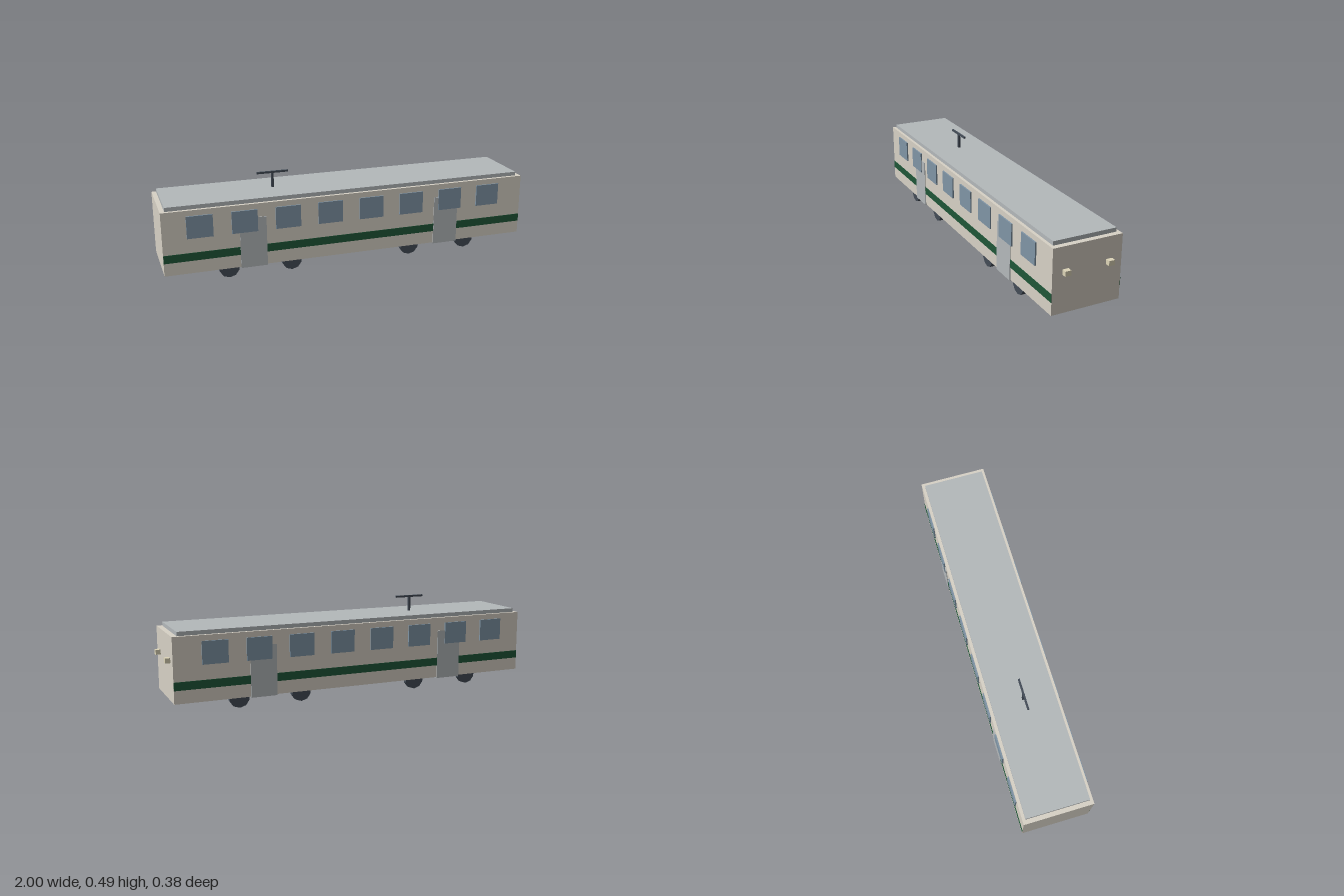
import * as THREE from 'three';

const mat = (color) => new THREE.MeshStandardMaterial({ color, flatShading: true });

export function createModel() {
  const tram = new THREE.Group();
  tram.name = 'railcar';
  const cream = mat(0xd8d2c6), grey = mat(0xb4b9bb), green = mat(0x1f5638);
  const glass = mat(0x8095a6), dark = mat(0x434c57), lamp = mat(0xddd5b8);

  const add = (name, geometry, material, x, y, z) => {
    const mesh = new THREE.Mesh(geometry, material);
    mesh.name = name;
    mesh.position.set(x, y, z);
    tram.add(mesh);
    return mesh;
  };
  // Box given by its extents along x and y, and its depth around z
  const box = (name, material, x0, x1, y0, y1, depth, z = 0) =>
    add(name, new THREE.BoxGeometry(x1 - x0, y1 - y0, depth), material, (x0 + x1) / 2, (y0 + y1) / 2, z);

  // Car body, roof slab and waist stripe
  box('body', cream, -1, 0.975, 0.054, 0.385, 0.363);
  box('roof', grey, -0.977, 0.948, 0.385, 0.406, 0.331);
  box('stripe', green, -0.9995, 0.9745, 0.121, 0.163, 0.368);

  // Doors span the full width and dip just below the floor
  for (const x of [-0.545, 0.52]) box('door', grey, x - 0.069, x + 0.069, 0.049, 0.313, 0.371);

  // Window row, standing slightly proud on both sides
  for (let i = 0; i < 8; i++) {
    const x = -0.813 + i * 0.2257;
    for (const s of [-1, 1]) box('window', glass, x - 0.066, x + 0.066, 0.24, 0.356, 0.016, s * 0.181);
  }

  // Wheels
  const wheel = new THREE.CylinderGeometry(0.053, 0.053, 0.025, 10).rotateX(Math.PI / 2);
  for (const x of [-0.672, -0.343, 0.316, 0.645])
    for (const s of [-1, 1]) add('wheel', wheel, dark, x, 0.053, s * 0.158);

  // Headlights on the +x end
  for (const s of [-1, 1]) box('headlight', lamp, 0.97, 1, 0.249, 0.274, 0.031, s * 0.1145);

  // Current collector: post and crossbar
  box('collectorPost', dark, -0.401, -0.389, 0.4, 0.487, 0.012);
  box('collectorBar', dark, -0.478, -0.312, 0.482, 0.492, 0.01);

  return tram;
}
